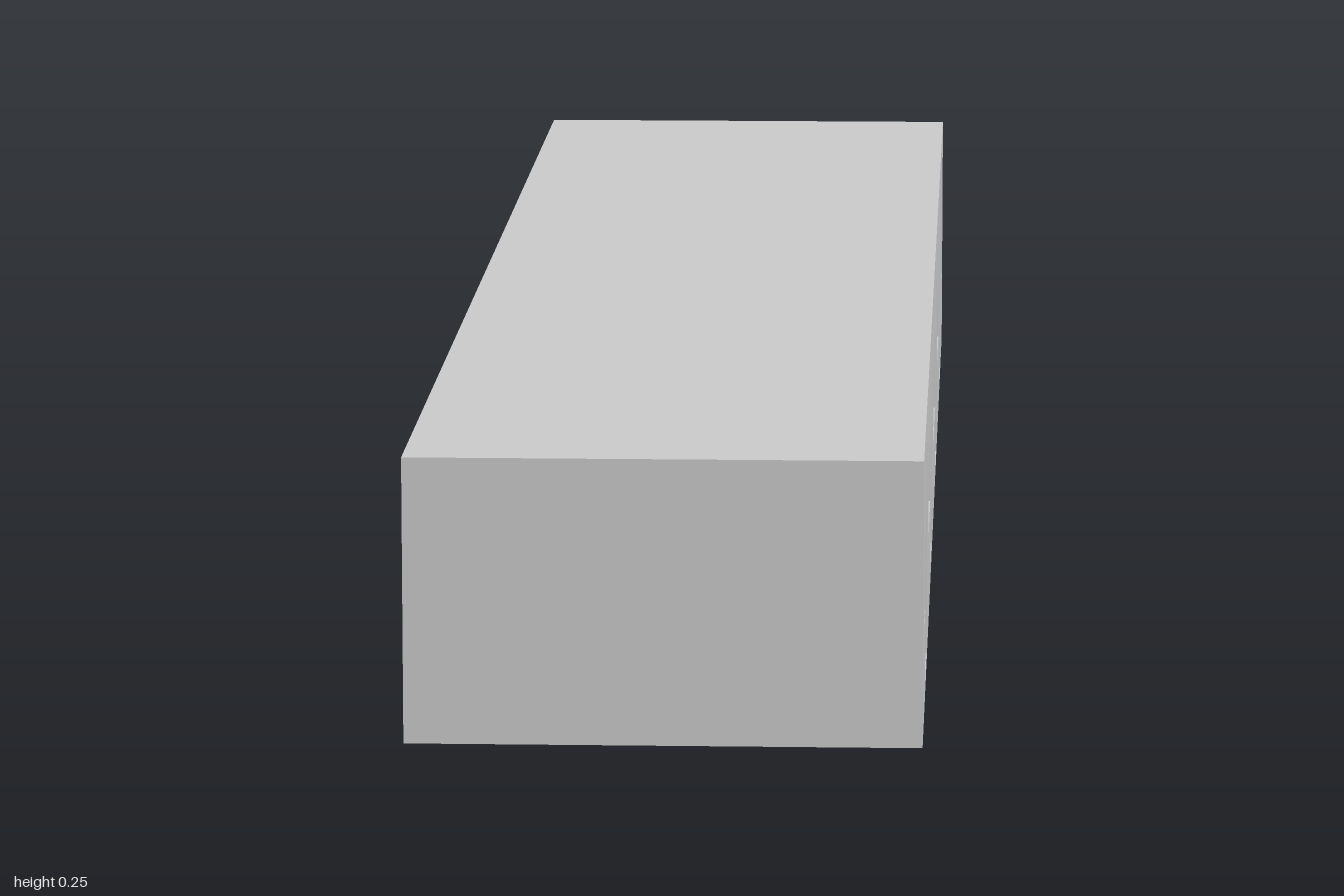
import * as THREE from 'three';

const WIDTH = 0.433, HEIGHT = 0.243, LENGTH = 2;
const WALL = 0.02, SLAB = 0.01;

// Openings along the length: [centre z, width, bottom, top]
const doors = [0.743, 0.262, -0.203, -0.685].map((z) => [z, 0.118, 0.011, 0.202]);
const windows = [0.475, 0.001, -0.411].map((z) => [z, 0.187, 0.087, 0.157]);
const frontVent = [0.887, 0.06, 0.087, 0.155];
const backVent = [-0.885, 0.06, 0.087, 0.155];

const material = new THREE.MeshStandardMaterial({ color: 0xcccccc, flatShading: true });

function rectangle(path, x0, y0, x1, y1) {
  path.moveTo(x0, y0);
  path.lineTo(x1, y0);
  path.lineTo(x1, y1);
  path.lineTo(x0, y1);
  path.closePath();
  return path;
}

// Long wall pierced by its openings; the shape's x axis runs along -z
function sideWall(name, x, openings) {
  const shape = rectangle(new THREE.Shape(), -LENGTH / 2, 0, LENGTH / 2, HEIGHT);
  for (const [z, w, bottom, top] of openings) {
    shape.holes.push(rectangle(new THREE.Path(), -z - w / 2, bottom, -z + w / 2, top));
  }
  const geometry = new THREE.ExtrudeGeometry(shape, { depth: WALL, bevelEnabled: false });
  geometry.translate(0, 0, -WALL / 2);
  geometry.rotateY(Math.PI / 2);
  const mesh = new THREE.Mesh(geometry, material);
  mesh.name = name;
  mesh.position.x = x;
  return mesh;
}

function box(name, w, h, d, y, z) {
  const mesh = new THREE.Mesh(new THREE.BoxGeometry(w, h, d), material);
  mesh.name = name;
  mesh.position.set(0, y, z);
  return mesh;
}

export function createModel() {
  const group = new THREE.Group();
  group.name = 'longBuilding';
  const shell = new THREE.Group();
  shell.name = 'hollowShell';
  group.add(shell);

  // Long walls; only the right one has a small window near the front
  const wallX = (WIDTH - WALL) / 2;
  const shared = [...doors, ...windows, backVent];
  shell.add(sideWall('rightWall', wallX, [...shared, frontVent]));
  shell.add(sideWall('leftWall', -wallX, shared));

  // End walls, floor and roof fit between the long walls
  const inner = WIDTH - 2 * WALL;
  const endZ = (LENGTH - WALL) / 2;
  shell.add(box('frontWall', inner, HEIGHT, WALL, HEIGHT / 2, endZ));
  shell.add(box('backWall', inner, HEIGHT, WALL, HEIGHT / 2, -endZ));
  shell.add(box('floor', inner, SLAB, LENGTH - 2 * WALL, SLAB / 2, 0));
  shell.add(box('roof', inner, SLAB, LENGTH - 2 * WALL, HEIGHT - SLAB / 2, 0));

  // The whole block sits very slightly turned and tilted
  shell.rotation.set(0.002, -0.006, 0);
  shell.position.y = 0.002;
  return group;
}
